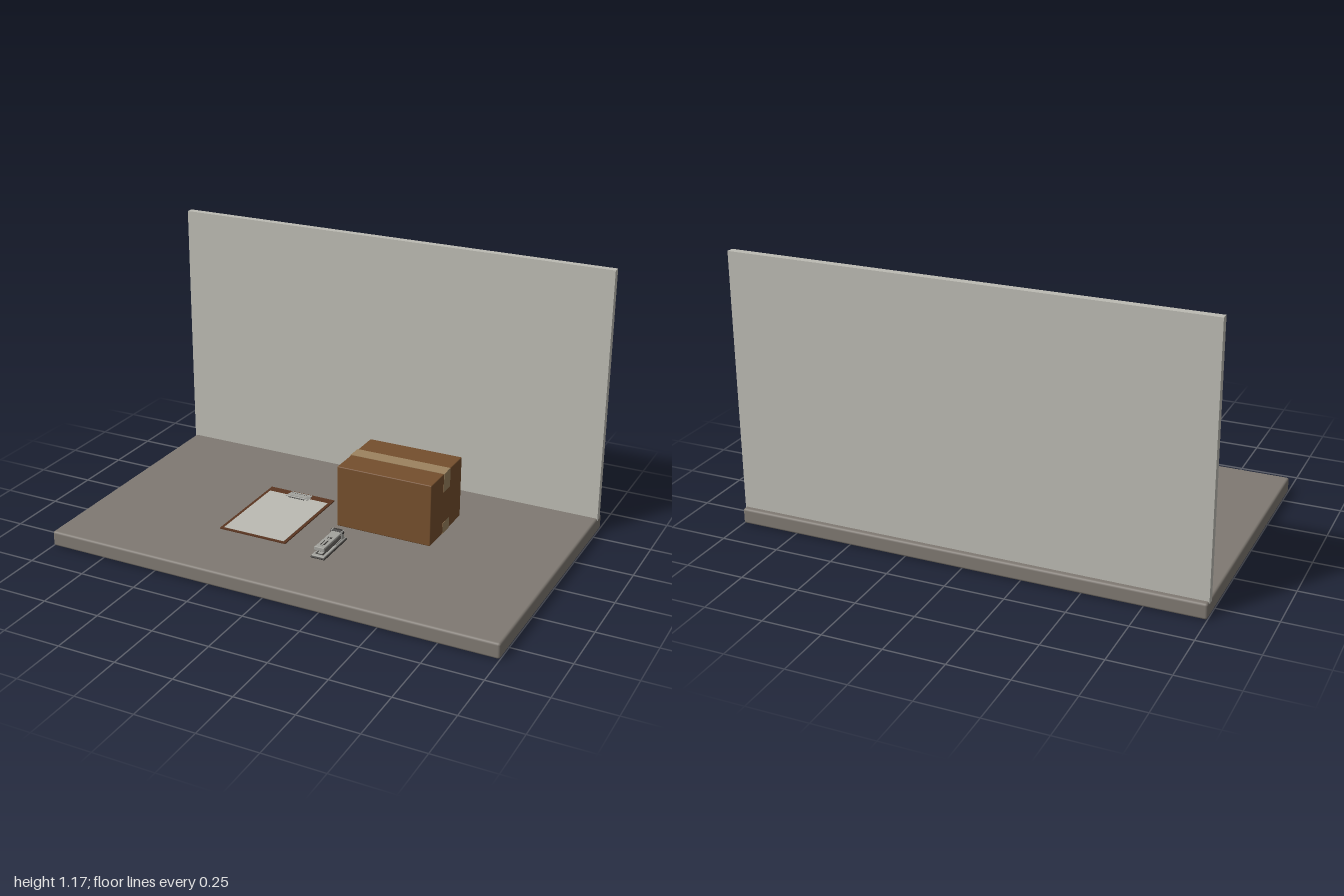
import * as THREE from 'three';
import { RoundedBoxGeometry } from 'three/addons/geometries/RoundedBoxGeometry.js';

const mat = (name, color, side = THREE.FrontSide) => {
  const m = new THREE.MeshStandardMaterial({ color, side });
  m.name = name;
  return m;
};

export function createModel() {
  const stone = mat('warm grey desk', 0x7f7972);
  const pale = mat('pale wall and paper', 0xbcbbb3);
  const card = mat('cardboard', 0x754f2d);
  const tapeMat = mat('packing tape', 0x9c835f);
  const wood = mat('dark board', 0x5b3621);
  const steel = mat('steel', 0xa3a39e, THREE.DoubleSide);
  const dark = mat('dark metal', 0x3a3836);

  const model = new THREE.Group();
  model.name = 'packingDesk';
  const group = (name) => {
    const g = new THREE.Group();
    g.name = name;
    model.add(g);
    return g;
  };
  const add = (parent, name, geometry, material, x = 0, y = 0, z = 0) => {
    const mesh = new THREE.Mesh(geometry, material);
    mesh.name = name;
    mesh.position.set(x, y, z);
    parent.add(mesh);
    return mesh;
  };
  // Box given by its limits, with an optional rounded edge
  const block = (parent, name, material, [x0, x1], [y0, y1], [z0, z1], r = 0) => {
    const s = [x1 - x0, y1 - y0, z1 - z0];
    const g = r ? new RoundedBoxGeometry(...s, 2, r) : new THREE.BoxGeometry(...s);
    return add(parent, name, g, material, (x0 + x1) / 2, (y0 + y1) / 2, (z0 + z1) / 2);
  };
  // Rod running along x
  const rod = (parent, name, material, radius, length, x, y, z) => {
    const g = new THREE.CylinderGeometry(radius, radius, length, 16).rotateZ(Math.PI / 2);
    return add(parent, name, g, material, x, y, z);
  };

  // Desk and back wall
  block(model, 'deskTop', stone, [-1, 1], [0, 0.067], [-0.6, 0.6], 0.01);
  block(model, 'backWall', pale, [-1, 1], [0.055, 1.17], [-0.577, -0.545]);

  // Cardboard box with tape over the seam and down both ends
  const box = group('cardboardBox');
  block(box, 'boxBody', card, [0.04, 0.466], [0.068, 0.342], [-0.307, 0.014], 0.004);
  const tapeZ = [-0.181, -0.115];
  block(box, 'topTape', tapeMat, [0.039, 0.467], [0.341, 0.3435], tapeZ);
  block(box, 'bottomTape', tapeMat, [0.039, 0.467], [0.0672, 0.069], tapeZ);
  for (const x of [0.0395, 0.4665]) {
    block(box, 'upperEndTape', tapeMat, [x - 0.001, x + 0.001], [0.26, 0.343], tapeZ);
    block(box, 'lowerEndTape', tapeMat, [x - 0.001, x + 0.001], [0.068, 0.118], tapeZ);
  }

  // Clipboard with paper
  const clipboard = group('clipboard');
  block(clipboard, 'board', wood, [-0.387, -0.075], [0.067, 0.0715], [-0.19, 0.262]);
  block(clipboard, 'paper', pale, [-0.373, -0.088], [0.0715, 0.073], [-0.149, 0.25]);

  // Spring clip: arched plate, flat lip and rolled edges
  const arch = new THREE.Shape();
  arch.moveTo(-0.055, 0);
  arch.lineTo(-0.04, 0.007);
  arch.lineTo(0.04, 0.007);
  arch.lineTo(0.055, 0);
  arch.lineTo(0.05, 0);
  arch.lineTo(0.038, 0.005);
  arch.lineTo(-0.038, 0.005);
  arch.lineTo(-0.05, 0);
  const archGeo = new THREE.ExtrudeGeometry(arch, { depth: 0.024, bevelEnabled: false });
  add(clipboard, 'clipArch', archGeo, steel, -0.231, 0.073, -0.16);
  block(clipboard, 'clipBack', steel, [-0.282, -0.18], [0.0715, 0.074], [-0.183, -0.158]);
  rod(clipboard, 'clipSpring', dark, 0.003, 0.075, -0.231, 0.076, -0.163);
  rod(clipboard, 'clipLip', steel, 0.003, 0.108, -0.231, 0.076, -0.133);
  rod(clipboard, 'clipLipShadow', dark, 0.0015, 0.075, -0.231, 0.0745, -0.127);

  // Stapler: long base, anvil, hinge and raised arm
  const stapler = group('stapler');
  const cx = 0.103;
  const across = (w) => [cx - w / 2, cx + w / 2];
  block(stapler, 'staplerFoot', dark, across(0.064), [0.067, 0.074], [0.108, 0.318], 0.003);
  block(stapler, 'staplerBase', steel, across(0.058), [0.073, 0.08], [0.112, 0.315], 0.003);
  block(stapler, 'baseChannel', dark, across(0.036), [0.079, 0.082], [0.118, 0.3]);
  block(stapler, 'anvil', steel, across(0.022), [0.08, 0.083], [0.27, 0.298]);
  block(stapler, 'magazine', steel, across(0.036), [0.099, 0.107], [0.125, 0.3]);
  block(stapler, 'topArm', steel, across(0.044), [0.105, 0.112], [0.125, 0.298], 0.003);
  block(stapler, 'armNose', steel, across(0.046), [0.096, 0.114], [0.293, 0.303], 0.003);
  block(stapler, 'armInlay', dark, across(0.018), [0.111, 0.1128], [0.2, 0.215]);
  block(stapler, 'armInlay', dark, across(0.018), [0.111, 0.1128], [0.235, 0.275]);
  block(stapler, 'armRib', steel, across(0.008), [0.112, 0.1138], [0.205, 0.285]);
  for (const side of [-1, 1]) {
    const x = cx + side * 0.023;
    block(stapler, 'hingePlate', steel, [x - 0.002, x + 0.002], [0.079, 0.117], [0.127, 0.148]);
    block(stapler, 'baseRail', steel, [x - 0.002, x + 0.002], [0.079, 0.084], [0.118, 0.2]);
  }
  rod(stapler, 'hingePin', dark, 0.006, 0.058, cx, 0.111, 0.138);
  block(stapler, 'rearCap', dark, across(0.04), [0.1, 0.119], [0.125, 0.142], 0.003);

  return model;
}
